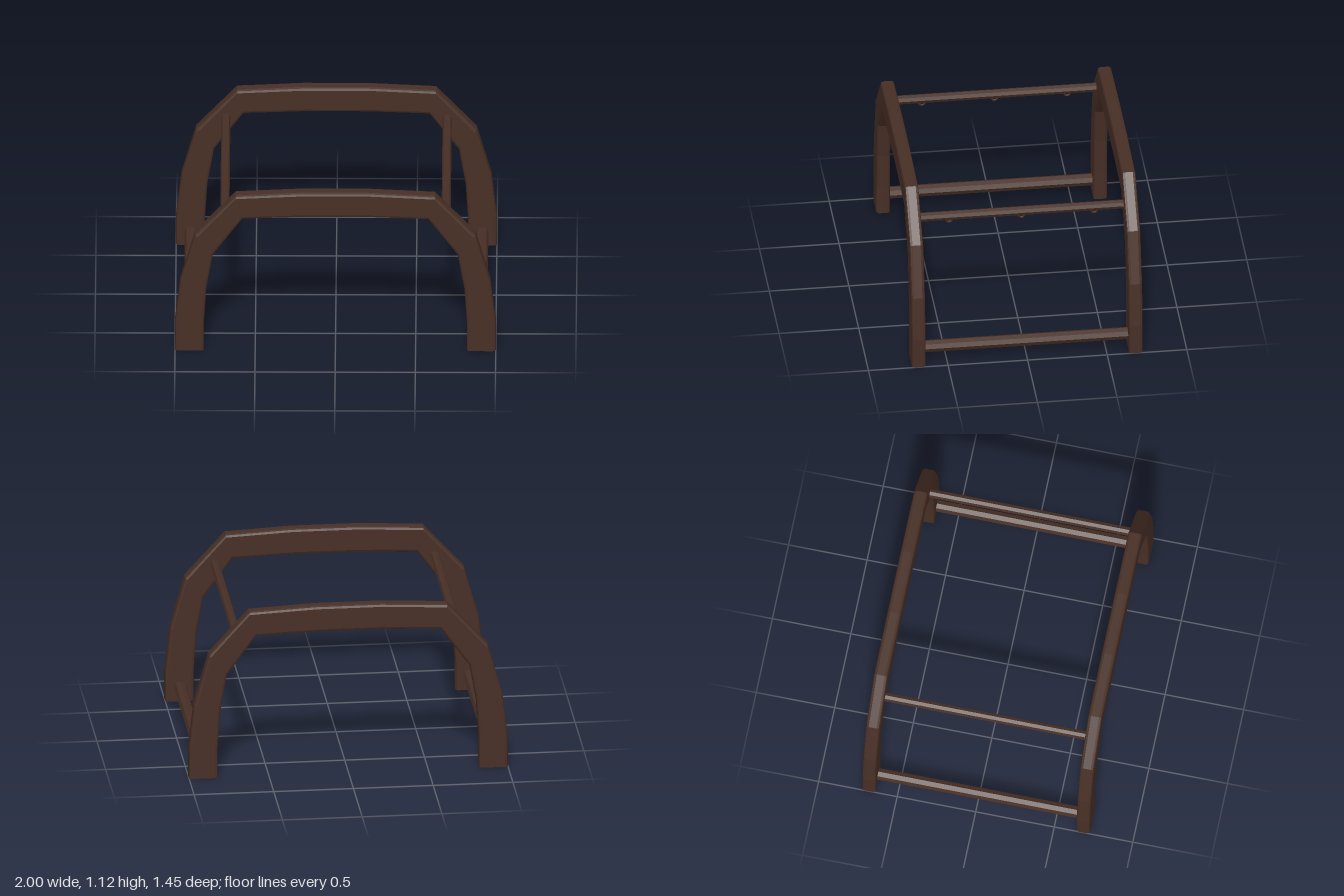
import * as THREE from 'three';

const wood = new THREE.MeshStandardMaterial({ name: 'darkBrown', color: 0x472f25, flatShading: true });

// Matching outer and inner corners of one half arch, from foot to crown
const half = [
  [1, 0, 0.82, 0], [1, 0.2, 0.82, 0.185], [0.968, 0.485, 0.805, 0.43],
  [0.875, 0.818, 0.763, 0.677], [0.622, 1.096, 0.58, 0.932], [0.205, 1.117, 0.2, 0.946],
];

// Sweeps a rectangle with rounded edges along the arch
function archGeometry(h = 0.043, r = 0.018) {
  const path = [...half, ...half.slice().reverse().map(([a, b, c, d]) => [-a, b, -c, d])];
  const k = r * 0.293;
  const rings = path.map(([ox, oy, ix, iy]) => {
    const w = Math.hypot(ix - ox, iy - oy), dx = (ix - ox) / w, dy = (iy - oy) / w;
    const section = [
      [0, h - r], [0, r - h], [k, k - h], [r, -h], [w - r, -h], [w - k, k - h],
      [w, r - h], [w, h - r], [w - k, h - k], [w - r, h], [r, h], [k, h - k],
    ];
    return section.map(([u, z]) => [ox + dx * u, oy + dy * u, z]);
  });
  const n = rings[0].length, index = [];
  for (let i = 0; i < rings.length - 1; i++) {
    for (let j = 0; j < n; j++) {
      const a = i * n + j, b = i * n + (j + 1) % n;
      index.push(a, b, b + n, a, b + n, a + n);
    }
  }
  // Soles of the two feet
  const last = (rings.length - 1) * n;
  for (let j = 1; j < n - 1; j++) {
    index.push(0, j + 1, j, last, last + j, last + j + 1);
  }
  const g = new THREE.BufferGeometry();
  g.setAttribute('position', new THREE.Float32BufferAttribute(rings.flat(2), 3));
  g.setIndex(index);
  g.computeVertexNormals();
  return g;
}

export function createModel() {
  const model = new THREE.Group();
  model.name = 'archFrame';
  const add = (name, geometry, x, y, z) => {
    const mesh = new THREE.Mesh(geometry, wood);
    mesh.name = name;
    mesh.position.set(x, y, z);
    model.add(mesh);
  };

  // Front and back arches
  const arch = archGeometry();
  add('frontArch', arch, 0, 0, 0.682);
  add('backArch', arch, 0, 0, -0.682);

  // Crossbars and hanging rings on both sides
  const lowerBar = new THREE.CylinderGeometry(0.039, 0.039, 1.3, 8).rotateX(Math.PI / 2);
  const upperBar = new THREE.CylinderGeometry(0.029, 0.029, 1.3, 8).rotateX(Math.PI / 2);
  const ring = new THREE.TorusGeometry(0.018, 0.007, 6, 14).rotateY(Math.PI / 2);
  for (const [side, s] of [['left', 1], ['right', -1]]) {
    add(side + 'LowerBar', lowerBar, s * 0.908, 0.094, 0);
    add(side + 'UpperBar', upperBar, s * 0.69, 0.908, 0);
    for (const z of [-0.456, 0, 0.456]) add(side + 'HangingRing', ring, s * 0.69, 0.879, z);
  }
  return model;
}
